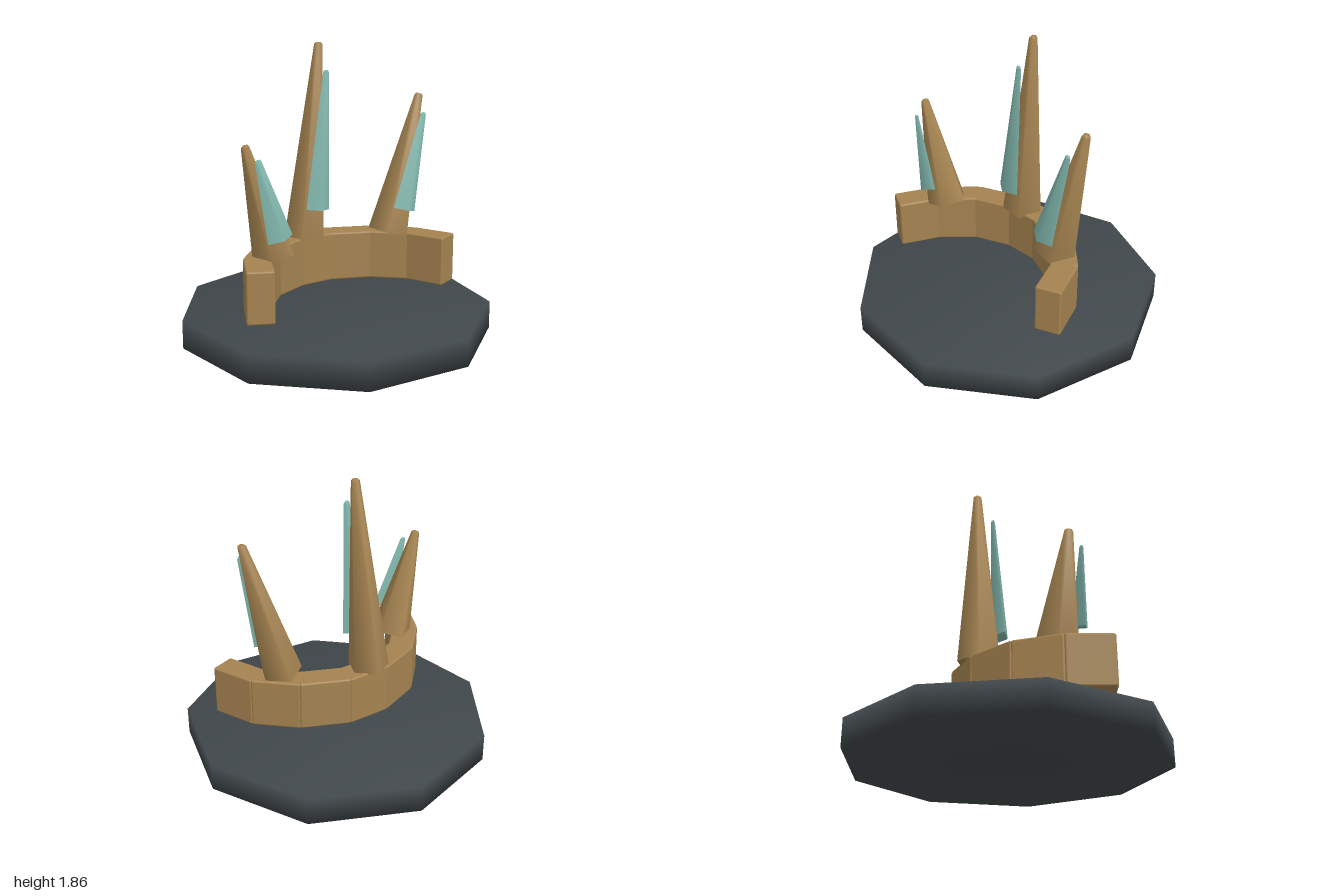
import * as THREE from 'three';
import { mergeVertices, toCreasedNormals } from 'three/addons/utils/BufferGeometryUtils.js';
import { RoundedBoxGeometry } from 'three/addons/geometries/RoundedBoxGeometry.js';

const bronze = new THREE.MeshStandardMaterial({ color: 0xa58350 });
const teal = new THREE.MeshStandardMaterial({ color: 0x7fb5ab });
const slate = new THREE.MeshStandardMaterial({ color: 0x40474a });

function addMesh(parent, name, geometry, material) {
  const mesh = new THREE.Mesh(geometry, material);
  mesh.name = name;
  parent.add(mesh);
  return mesh;
}

// Tapered spike with a softened tip, running from one point to another
function addSpike(parent, name, material, from, to, { sides, radius, tipRadius, depth = 1, turn = 0 }) {
  const start = new THREE.Vector3(...from);
  const axis = new THREE.Vector3(...to).sub(start);
  const h = axis.length();
  const profile = [
    [0, 0], [radius, 0], [tipRadius, h - 0.012], [tipRadius * 0.65, h], [0, h],
  ].map(([x, y]) => new THREE.Vector2(x, y));
  const geometry = new THREE.LatheGeometry(profile, sides, turn);
  geometry.scale(1, 1, depth);
  const mesh = addMesh(parent, name, toCreasedNormals(geometry, 1.48), material);
  mesh.position.copy(start);
  mesh.quaternion.setFromUnitVectors(new THREE.Vector3(0, 1, 0), axis.normalize());
}

export function createModel() {
  const model = new THREE.Group();
  model.name = 'spikedCrown';

  // Nine-sided slab with softly shaded edges
  const slab = new THREE.CylinderGeometry(1.015, 1.015, 0.18, 9, 1, false, Math.PI);
  slab.deleteAttribute('normal');
  slab.deleteAttribute('uv');
  const softSlab = mergeVertices(slab);
  softSlab.computeVertexNormals();
  addMesh(model, 'baseSlab', softSlab, slate).position.set(0, 0.09, 0.03);

  // Curved band of blocks, set between the outer seam points (x, z)
  const band = new THREE.Group();
  band.name = 'band';
  model.add(band);
  const seams = [
    [-0.805, 0.375], [-0.695, 0.1], [-0.49, -0.145], [-0.2, -0.285],
    [0.09, -0.308], [0.4, -0.2], [0.645, 0.0], [0.778, 0.27],
  ];
  const thickness = 0.17;
  for (let i = 0; i < seams.length - 1; i++) {
    const [x0, z0] = seams[i];
    const [x1, z1] = seams[i + 1];
    const length = Math.hypot(x1 - x0, z1 - z0);
    const angle = Math.atan2(z1 - z0, x1 - x0);
    const block = addMesh(band, 'bandBlock',
      new RoundedBoxGeometry(length, 0.325, thickness, 2, 0.013), bronze);
    block.position.set(
      (x0 + x1) / 2 - Math.sin(angle) * thickness / 2,
      0.4375,
      (z0 + z1) / 2 + Math.cos(angle) * thickness / 2);
    block.rotation.y = -angle;
  }

  // Five-sided spikes, each with a flat crystal on its front
  const spikes = [
    { name: 'right', horn: [[-0.5, 0.6, 0.14], [-0.69, 1.295, 0.155]],
      crystal: [[-0.53, 0.735, 0.28], [-0.657, 1.22, 0.252]] },
    { name: 'centre', horn: [[-0.1, 0.59, -0.2], [0, 1.86, -0.185]],
      crystal: [[-0.083, 0.797, -0.055], [-0.008, 1.69, -0.075]] },
    { name: 'left', horn: [[0.43, 0.6, -0.005], [0.663, 1.515, 0]],
      crystal: [[0.463, 0.77, 0.135], [0.628, 1.4, 0.105]] },
  ];
  for (const { name, horn, crystal } of spikes) {
    addSpike(model, name + 'Spike', bronze, ...horn,
      { sides: 5, radius: 0.137, tipRadius: 0.028, turn: Math.PI });
    addSpike(model, name + 'Crystal', teal, ...crystal,
      { sides: 4, radius: 0.085, tipRadius: 0.021, depth: 0.65 });
  }
  return model;
}
